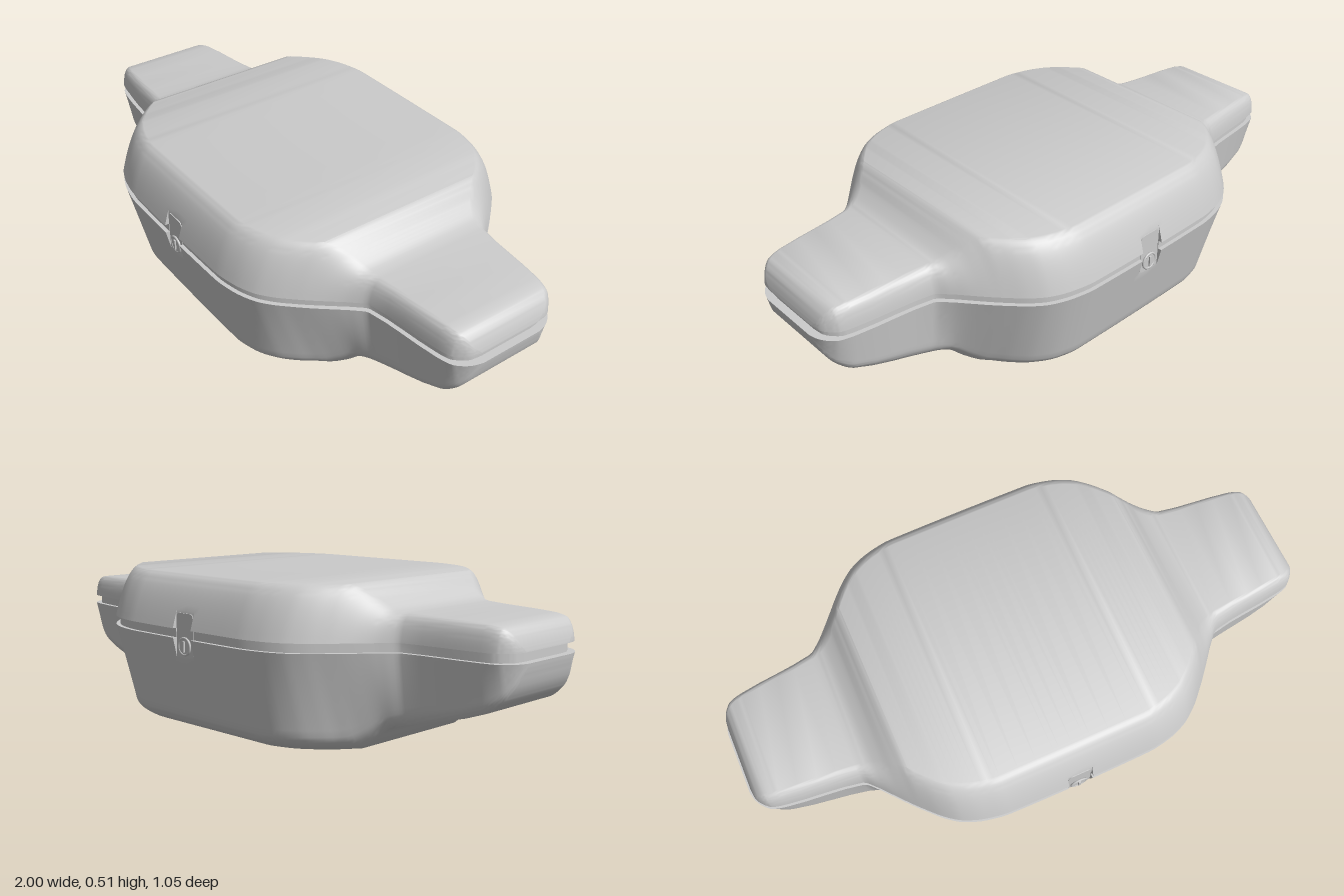
import * as THREE from 'three';
import { toCreasedNormals } from 'three/addons/utils/BufferGeometryUtils.js';

const LID_RIM = 0.345, BASE_RIM = 0.315;
const NOTCH_X = 0.043, NOTCH_Z = 0.51;

// Stations from the middle to the tip: x, rim half-width, top height, top flat half-width
const LID = [
  [0, .525, .51, .435], [.25, .522, .51, .435], [.33, .51, .51, .42], [.4, .485, .51, .39],
  [.45, .45, .51, .35], [.5, .4, .51, .295], [.53, .367, .493, .26], [.57, .32, .46, .225],
  [.61, .273, .437, .205], [.65, .237, .43, .195], [.9, .203, .422, .17], [.945, .192, .415, .16],
  [.97, .17, .395, .145], [.985, .145, .365, .125], [.99, .11, .345, .11],
];

// x, rim half-width, bottom height, bottom flat half-width, knee half-width, knee height
const BASE = [
  [0, .525, 0, .4, .465, .05], [.25, .522, 0, .4, .463, .05], [.33, .51, 0, .38, .448, .05],
  [.4, .485, 0, .335, .41, .05], [.45, .45, 0, .285, .36, .05], [.49, .41, 0, .235, .31, .05],
  [.53, .367, .025, .22, .272, .045], [.58, .308, .07, .205, .24, .04], [.61, .273, .083, .2, .228, .04],
  [.65, .237, .095, .195, .215, .04], [.9, .203, .165, .165, .185, .03], [.95, .19, .205, .155, .17, .025],
  [.975, .168, .24, .14, .15, .02], [.992, .14, .285, .12, .127, .01], [1, .11, .315, .11, .11, 0],
];

// Monotone cubic interpolation of every column of a station table
function sample(table, x) {
  let i = 0;
  while (i < table.length - 2 && x > table[i + 1][0]) i++;
  const chord = (k, c) => (table[k + 1][c] - table[k][c]) / (table[k + 1][0] - table[k][0]);
  const slope = (k, c) => {
    if (k === 0) return 0;
    if (k === table.length - 1) return chord(k - 1, c);
    const a = chord(k - 1, c), b = chord(k, c);
    return a * b > 0 ? 2 * a * b / (a + b) : 0;
  };
  const d = table[i + 1][0] - table[i][0], t = (x - table[i][0]) / d;
  return table[i].map((p, c) => {
    if (c === 0) return x;
    const q = table[i + 1][c], t2 = t * t, t3 = t2 * t;
    return (2 * t3 - 3 * t2 + 1) * p + (3 * t2 - 2 * t3) * q
      + (t3 - 2 * t2 + t) * d * slope(i, c) + (t3 - t2) * d * slope(i + 1, c);
  });
}

// Mirrored x positions, with a sharp step at the latch notch
function stations(table) {
  const xs = [NOTCH_X, NOTCH_X + 0.0005];
  for (let i = 0; i < table.length - 1; i++) {
    for (let k = 0; k < 4; k++) xs.push(THREE.MathUtils.lerp(table[i][0], table[i + 1][0], k / 4));
  }
  xs.push(table[table.length - 1][0]);
  xs.sort((a, b) => a - b);
  return [...xs.slice(1).reverse().map((x) => -x), ...xs];
}

// Half sections as [z, y], from rim to the flat
function lidSection([x, w, h, f]) {
  const k = THREE.MathUtils.smoothstep(x, 0.5, 0.65);
  const cz = 0.55 + 0.3 * k, cy = 0.1 - 0.05 * k, pts = [];
  for (let i = 14; i >= 0; i--) {
    const t = i / 14, m = 2 * t * (1 - t);
    pts.push([f + (w - f) * (m * cz + t * t), h - (h - LID_RIM) * (m * cy + t * t)]);
  }
  return pts;
}

function baseSection([, w, b, f, k, kh]) {
  const pts = [];
  for (let i = 0; i < 12; i++) {
    const t = i / 12;
    pts.push([w + (k - w) * t, BASE_RIM + (b + kh - BASE_RIM) * t]);
  }
  // rounded lower edge
  for (let i = 0; i <= 6; i++) {
    const t = i / 6, m = 2 * t * (1 - t), s = (1 - t) * (1 - t);
    pts.push([k * s + (k * 0.8 + f * 0.2) * m + f * t * t, b + kh * (s + 0.38 * m)]);
  }
  return pts;
}

// Loft closed sections along x; side = -1 runs over the top, +1 under the bottom
function loft(table, section, side) {
  const pos = [], index = [], xs = stations(table);
  let n = 0;
  for (const x of xs) {
    const limit = Math.abs(x) <= NOTCH_X ? NOTCH_Z : 1;
    const half = section(sample(table, Math.abs(x))).map(([z, y]) => [Math.min(z, limit), y]);
    const loop = [
      ...half.map(([z, y]) => [side * z, y]),
      ...half.slice().reverse().map(([z, y]) => [-side * z, y]),
    ];
    n = loop.length;
    for (const [z, y] of loop) pos.push(x, y, z);
  }
  for (let i = 0; i < xs.length - 1; i++) {
    for (let j = 0; j < n; j++) {
      const a = i * n + j, b = i * n + (j + 1) % n;
      index.push(a, b, a + n, b, b + n, a + n);
    }
  }
  const geo = new THREE.BufferGeometry();
  geo.setAttribute('position', new THREE.Float32BufferAttribute(pos, 3));
  geo.setIndex(index);
  return toCreasedNormals(geo, 0.6);
}

// Recessed band that fills the gap between lid and base
function bandGeometry() {
  const edge = stations(LID).map((x) => {
    const w = sample(LID, Math.abs(x))[1] - 0.013;
    return [x * 0.985, Math.abs(x) <= NOTCH_X ? Math.min(w, NOTCH_Z - 0.002) : w];
  });
  const shape = new THREE.Shape([
    ...edge.map(([x, w]) => new THREE.Vector2(x, -w)),
    ...edge.slice().reverse().map(([x, w]) => new THREE.Vector2(x, w)),
  ]);
  const geo = new THREE.ExtrudeGeometry(shape, { depth: LID_RIM - BASE_RIM + 0.004, bevelEnabled: false });
  geo.rotateX(-Math.PI / 2).translate(0, BASE_RIM - 0.002, 0);
  return toCreasedNormals(geo, 0.6);
}

// Rounded rectangle for the latch plate
function plateGeometry(w, h, r, depth) {
  const s = new THREE.Shape(), a = w / 2 - r, b = h / 2 - r;
  s.absarc(a, b, r, 0, Math.PI / 2);
  s.absarc(-a, b, r, Math.PI / 2, Math.PI);
  s.absarc(-a, -b, r, Math.PI, Math.PI * 1.5);
  s.absarc(a, -b, r, Math.PI * 1.5, Math.PI * 2);
  return new THREE.ExtrudeGeometry(s, { depth, bevelEnabled: false, curveSegments: 6 });
}

export function createModel() {
  const group = new THREE.Group();
  const material = new THREE.MeshStandardMaterial({ color: 0xcccccc });
  const add = (parent, name, geo, x = 0, y = 0, z = 0) => {
    const mesh = new THREE.Mesh(geo, material);
    mesh.name = name;
    mesh.position.set(x, y, z);
    parent.add(mesh);
    return mesh;
  };

  add(group, 'lid', loft(LID, lidSection, -1));
  add(group, 'base', loft(BASE, baseSection, 1));
  add(group, 'seamBand', bandGeometry());

  // Latches on the front and back
  for (const [name, turn] of [['frontLatch', 0], ['backLatch', Math.PI]]) {
    const latch = new THREE.Group();
    latch.name = name;
    latch.rotation.y = turn;
    add(latch, 'latchPlate', plateGeometry(0.08, 0.14, 0.015, 0.012), 0, 0.325, 0.4995);
    const disc = new THREE.CylinderGeometry(0.024, 0.024, 0.012, 32).rotateX(Math.PI / 2);
    add(latch, 'lockDisc', disc, 0, 0.29, 0.51);
    add(latch, 'lockRing', new THREE.TorusGeometry(0.027, 0.004, 8, 32), 0, 0.29, 0.514);
    add(latch, 'lockKey', new THREE.BoxGeometry(0.008, 0.036, 0.008), 0, 0.29, 0.517);
    group.add(latch);
  }
  return group;
}
